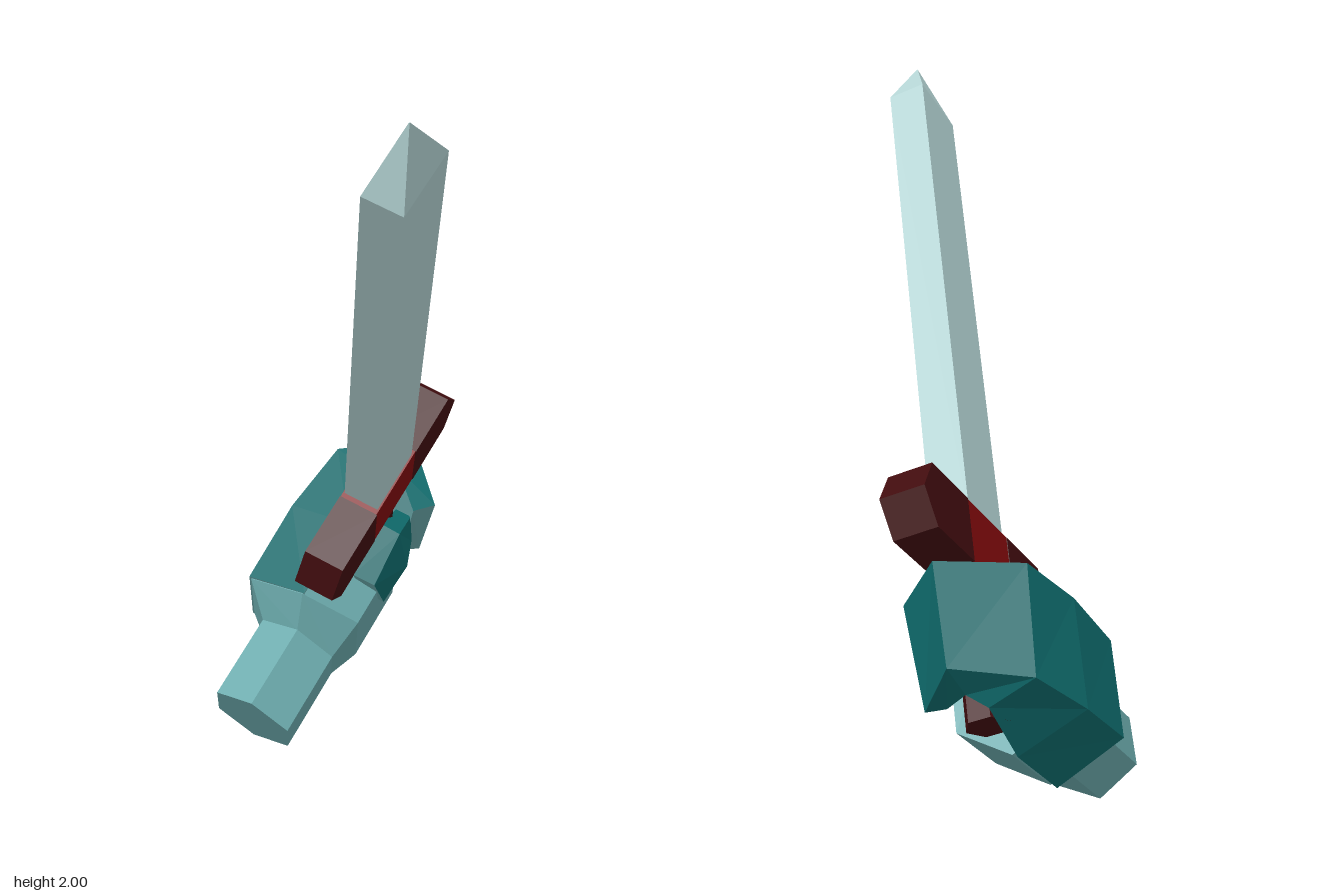
import * as THREE from 'three';

const material = (name, color) => {
  const m = new THREE.MeshStandardMaterial({ color });
  m.name = name;
  return m;
};

// Closed faceted solid from matching cross-sections. Material 0 covers the sides and
// material 1 the end caps and the sides from column `split` on.
function loft(sections, split = Infinity) {
  const n = sections[0].length;
  const tris = [[], []];
  const add = (slot, a, b, c) => tris[slot].push([a, b, c]);
  for (let i = 0; i < sections.length - 1; i++) {
    for (let j = 0; j < n; j++) {
      const k = (j + 1) % n;
      const [p, q] = [sections[i], sections[i + 1]];
      const slot = j >= split ? 1 : 0;
      add(slot, p[j], p[k], q[k]);
      add(slot, p[j], q[k], q[j]);
    }
  }
  const first = sections[0], last = sections[sections.length - 1];
  for (let j = 1; j < n - 1; j++) {
    add(1, first[0], first[j + 1], first[j]);
    add(1, last[0], last[j], last[j + 1]);
  }
  // Turn all faces outward using the signed volume
  const v = (p) => new THREE.Vector3(...p);
  const all = [...tris[0], ...tris[1]];
  const volume = all.reduce((s, [a, b, c]) => s + v(a).dot(v(b).cross(v(c))), 0);
  if (volume < 0) all.forEach((t) => t.reverse());
  const g = new THREE.BufferGeometry();
  g.setAttribute('position', new THREE.Float32BufferAttribute(all.flat(2), 3));
  g.addGroup(0, tris[0].length * 3, 0);
  g.addGroup(tris[0].length * 3, tris[1].length * 3, 1);
  g.computeVertexNormals();
  return g;
}

export function createModel() {
  const steel = material('pale steel', 0xb4d4d4);
  const skin = material('light teal', 0x6cabad);
  const glove = material('deep teal', 0x0f6b6c);
  const wood = material('dark red', 0x420d0f);
  const red = material('bright red', 0x820b0d);

  const model = new THREE.Group();
  // Tilted frame: x runs along the forearm, y along the blade, z out of the palm
  const frame = new THREE.Group();
  frame.name = 'handWithSword';
  const yAxis = new THREE.Vector3(-0.403, 0.716, 0.57).normalize();
  const zAxis = new THREE.Vector3(0.781, 0.592, -0.203).cross(yAxis).normalize();
  const xAxis = new THREE.Vector3().crossVectors(yAxis, zAxis);
  frame.quaternion.setFromRotationMatrix(new THREE.Matrix4().makeBasis(xAxis, yAxis, zAxis));
  frame.position.set(0.209, 0.727, -0.308);
  model.add(frame);

  const add = (name, geometry, mat) => {
    const mesh = new THREE.Mesh(geometry, mat);
    mesh.name = name;
    frame.add(mesh);
    return mesh;
  };

  // Blade: rectangular bar with a pyramid point
  const bar = (y, w, d) => [[-w, y, -d], [w, y, -d], [w, y, d], [-w, y, d]];
  add('blade', loft([bar(0.05, 0.105, 0.055), bar(1.6, 0.105, 0.055), bar(1.78, 0.001, 0.001)]), [steel, steel]);

  // Guard: bright centre block and two pointed arms
  add('guardCentre', new THREE.BoxGeometry(0.24, 0.185, 0.12).translate(0, 0.0225, 0), red);
  for (const s of [1, -1]) {
    const outline = [[0.12, -0.07], [0.325, -0.07], [0.385, 0.02], [0.325, 0.115], [0.12, 0.115]];
    const shape = new THREE.Shape(outline.map(([x, y]) => new THREE.Vector2(s * x, y)));
    const arm = new THREE.ExtrudeGeometry(shape, { depth: 0.124, bevelEnabled: false });
    add(s > 0 ? 'guardArmLeft' : 'guardArmRight', arm.translate(0, 0, -0.062), wood);
  }

  // Handle
  const grip = new THREE.CylinderGeometry(0.06, 0.06, 0.42, 6).toNonIndexed();
  grip.computeVertexNormals();
  add('handle', grip.translate(0, -0.25, 0), wood);

  // Forearm flaring into the palm, six-sided
  const wrist = (x) => [
    [x, -0.135, -0.01], [x, -0.205, -0.13], [x, -0.345, -0.13],
    [x, -0.415, -0.01], [x, -0.345, 0.11], [x, -0.205, 0.11],
  ];
  const palm = (back, front) => [
    [back, -0.04, -0.035], [back, -0.135, -0.213], [back, -0.405, -0.208],
    [front, -0.498, -0.01], [front, -0.4, 0.135], [front, -0.14, 0.135],
  ];
  add('forearmAndPalm', loft([wrist(-0.725), wrist(-0.46), palm(-0.387, -0.35), palm(-0.12, -0.11)]), [skin, skin]);

  // Back of the hand and the curled fingers: each section goes
  // inner top, outer top, outer bottom, inner bottom
  add('handBackAndFingers', loft([
    [[-0.385, -0.035, -0.03], [-0.385, -0.13, -0.22], [-0.385, -0.41, -0.215], [-0.37, -0.503, -0.02]],
    [[-0.12, -0.04, -0.03], [-0.12, -0.12, -0.225], [-0.13, -0.425, -0.217], [-0.12, -0.503, -0.02]],
    [[0.08, -0.085, -0.05], [0.12, -0.12, -0.2], [0.105, -0.42, -0.18], [0.08, -0.45, -0.04]],
    [[0.14, -0.09, 0], [0.265, -0.12, -0.01], [0.23, -0.395, -0.005], [0.12, -0.42, 0]],
    [[0.04, -0.1, 0.11], [0.1, -0.12, 0.155], [0.07, -0.41, 0.135], [0.035, -0.4, 0.09]],
  ], 3), [glove, skin]);

  // Thumb folded across the front of the handle
  add('thumb', loft([
    [[-0.25, -0.065, 0.06], [-0.245, -0.075, 0.13], [-0.22, -0.225, 0.155], [-0.22, -0.23, 0.08]],
    [[-0.06, -0.07, 0.05], [-0.06, -0.075, 0.115], [-0.09, -0.2, 0.165], [-0.09, -0.21, 0.08]],
    [[0.045, -0.16, 0.05], [0.05, -0.17, 0.1], [0.02, -0.265, 0.125], [0.0, -0.27, 0.06]],
  ], 3), [glove, skin]);

  return model;
}
